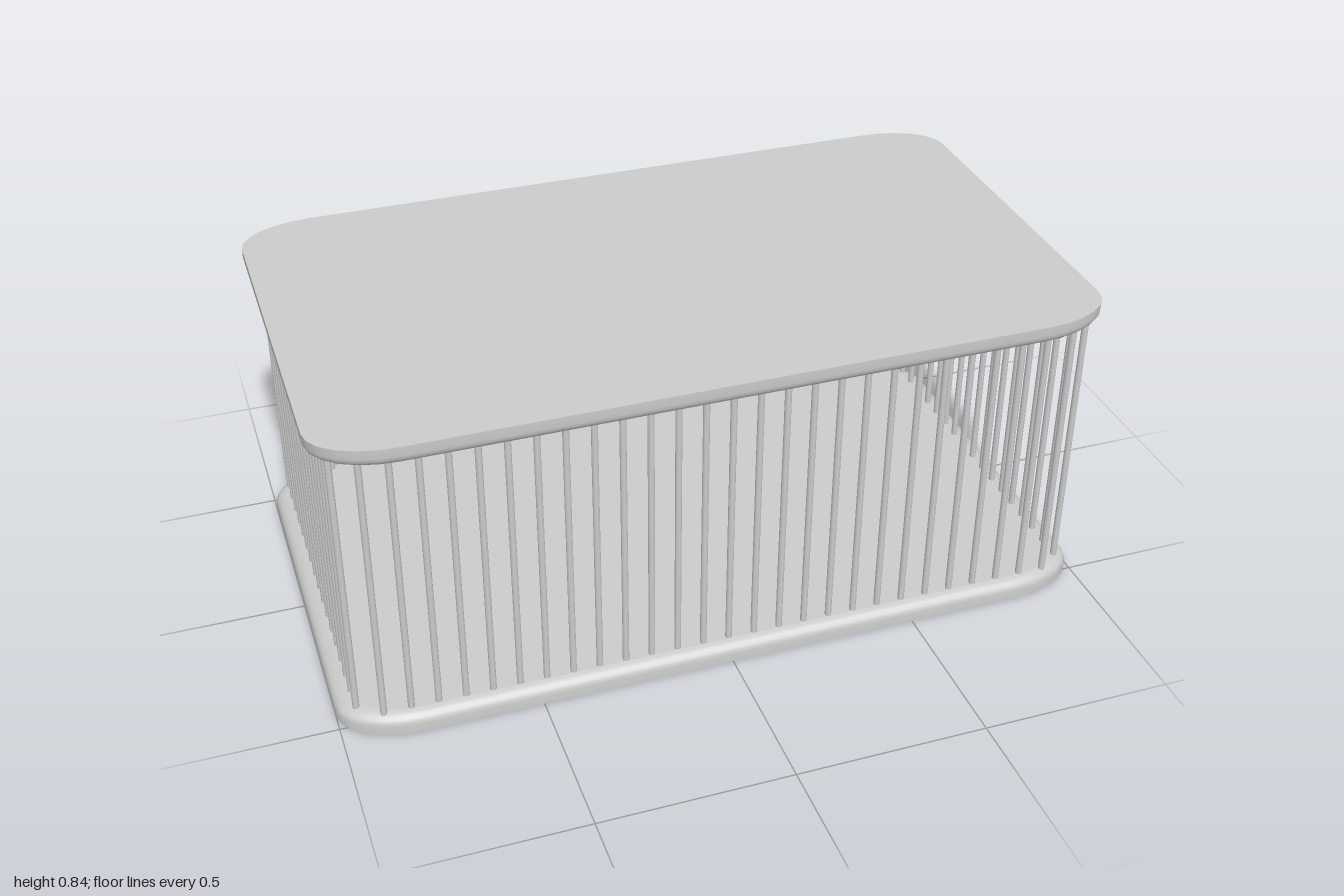
import * as THREE from 'three';
import { mergeGeometries, toCreasedNormals } from 'three/addons/utils/BufferGeometryUtils.js';

const HEIGHT = 0.84;
const STRETCH = 5 / 3; // corners and bevels are wider along x
const CORNER_STEPS = 6;
const material = new THREE.MeshStandardMaterial({ color: 0xcccccc });

// Rounded rectangle outline at height y, pulled in by inset
function ring(inset, y) {
  const points = [];
  const r = 0.12 - inset;
  [[1, 1], [-1, 1], [-1, -1], [1, -1]].forEach(([sx, sz], corner) => {
    for (let i = 0; i <= CORNER_STEPS; i++) {
      const a = (corner + i / CORNER_STEPS) * Math.PI / 2;
      points.push(new THREE.Vector3(
        (sx * 0.48 + r * Math.cos(a)) * STRETCH, y, sz * 0.45 + r * Math.sin(a)));
    }
  });
  return points;
}

function fromTriangles(points) {
  const geometry = new THREE.BufferGeometry().setFromPoints(points);
  geometry.computeVertexNormals();
  return geometry;
}

// Flat underside, short upright wall, rounded upper edge, flat top
function slabGeometry() {
  const rings = [ring(0, 0)];
  const steps = 5;
  for (let i = 0; i <= steps; i++) {
    const a = i / steps * Math.PI / 2;
    rings.push(ring(0.03 * (1 - Math.cos(a)), 0.024 + 0.028 * Math.sin(a)));
  }
  const wall = [], caps = [];
  const count = rings[0].length;
  const top = rings[rings.length - 1], bottom = rings[0];
  for (let j = 0; j < count; j++) {
    const k = (j + 1) % count;
    for (let i = 0; i < rings.length - 1; i++) {
      const low = rings[i], high = rings[i + 1];
      wall.push(low[j], high[j], low[k], low[k], high[j], high[k]);
    }
    caps.push(new THREE.Vector3(0, top[0].y, 0), top[k], top[j]);
    caps.push(new THREE.Vector3(0, 0, 0), bottom[j], bottom[k]);
  }
  return mergeGeometries([toCreasedNormals(fromTriangles(wall), 0.8), fromTriangles(caps)]);
}

export function createModel() {
  const model = new THREE.Group();
  model.name = 'cage';

  // Base, and the same slab turned over as the roof
  const slab = slabGeometry();
  const base = new THREE.Mesh(slab, material);
  base.name = 'base';
  const roof = new THREE.Mesh(slab, material);
  roof.name = 'roof';
  roof.rotation.x = Math.PI;
  roof.position.y = HEIGHT;
  model.add(base, roof);

  // Upright bars along all four sides
  const barGeometry = new THREE.CylinderGeometry(0.0085, 0.0085, 0.76, 12);
  function addBar(parent, x, z) {
    const bar = new THREE.Mesh(barGeometry, material);
    bar.name = 'bar';
    bar.position.set(x, HEIGHT / 2, z);
    parent.add(bar);
  }
  for (const side of [1, -1]) {
    const longRow = new THREE.Group();
    longRow.name = side > 0 ? 'frontBars' : 'backBars';
    for (let i = -13; i <= 13; i++) addBar(longRow, i * 0.0687, side * 0.531);

    const shortRow = new THREE.Group();
    shortRow.name = side > 0 ? 'leftBars' : 'rightBars';
    for (let i = -8; i <= 8; i++) addBar(shortRow, side * 0.953, i * 0.0608);
    model.add(longRow, shortRow);
  }
  return model;
}
